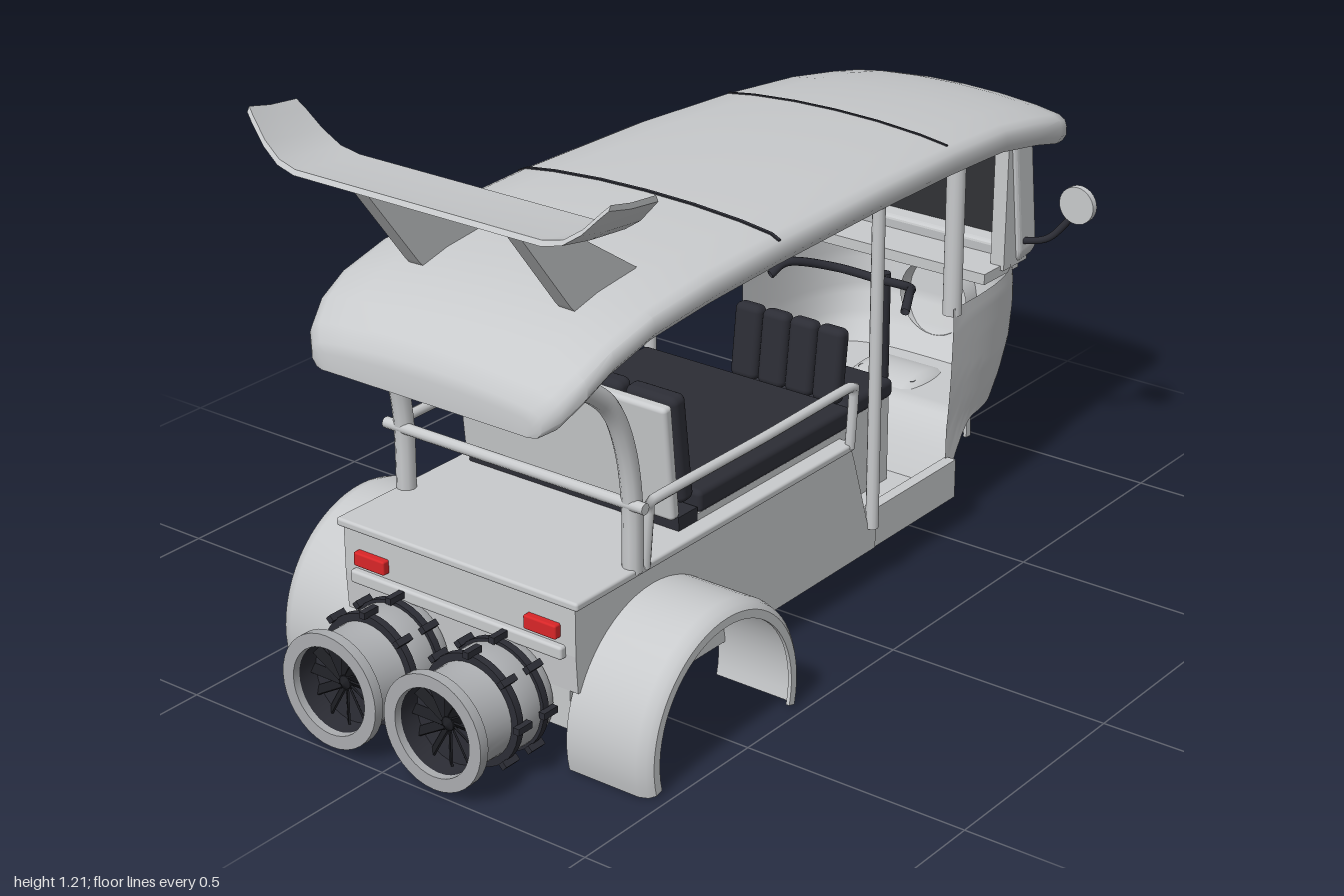
import * as THREE from 'three';
import { toCreasedNormals } from 'three/addons/utils/BufferGeometryUtils.js';
import { RoundedBoxGeometry } from 'three/addons/geometries/RoundedBoxGeometry.js';
import { ParametricGeometry } from 'three/addons/geometries/ParametricGeometry.js';

const mat = (name, color) => new THREE.MeshStandardMaterial({ name, color, side: THREE.DoubleSide });
const V = (x, y, z) => new THREE.Vector3(x, y, z);

export function createModel() {
  const root = new THREE.Group();
  root.name = 'threeWheeler';
  const grey = mat('bodyGrey', 0xc8cacc);
  const metal = mat('turbineMetal', 0xaaacaf);
  const dark = mat('darkTrim', 0x2c2d35);
  const black = mat('bladeBlack', 0x1c1d22);
  const glass = mat('darkGlass', 0x343539);
  const red = mat('lampRed', 0xd82628);

  const add = (name, geo, m, x = 0, y = 0, z = 0) => {
    const mesh = new THREE.Mesh(geo, m);
    mesh.name = name;
    mesh.position.set(x, y, z);
    root.add(mesh);
    return mesh;
  };
  // box given by its limits
  const box = (name, m, x0, x1, y0, y1, z0, z1, r = 0) => {
    const s = [x1 - x0, y1 - y0, z1 - z0];
    const g = r ? new RoundedBoxGeometry(...s, 3, r) : new THREE.BoxGeometry(...s);
    return add(name, g, m, (x0 + x1) / 2, (y0 + y1) / 2, (z0 + z1) / 2);
  };
  const tube = (name, m, r, pts, tension = 0.3) => add(name, new THREE.TubeGeometry(
    new THREE.CatmullRomCurve3(pts.map((p) => V(...p)), false, 'catmullrom', tension), pts.length * 8, r, 10), m);
  // side outline of [z, y] points, extruded across x
  const profile = (pts, width) => {
    const g = new THREE.ExtrudeGeometry(new THREE.Shape(pts.map((p) => new THREE.Vector2(...p))),
      { depth: width, bevelEnabled: false });
    return g.translate(0, 0, -width / 2).rotateY(-Math.PI / 2);
  };
  // skin over closed rings; each ring is an outer row followed by its reversed inner row
  const loft = (rings, crease = 0.6) => {
    const n = rings[0].length, idx = [];
    const quad = (a, b, c, d) => idx.push(a, b, c, a, c, d);
    for (let i = 0; i < rings.length - 1; i++)
      for (let j = 0; j < n; j++) {
        const k = (j + 1) % n;
        quad(i * n + j, i * n + k, (i + 1) * n + k, (i + 1) * n + j);
      }
    const last = (rings.length - 1) * n;
    for (let j = 0; j < n / 2 - 1; j++) {
      quad(j, n - 1 - j, n - 2 - j, j + 1);
      quad(last + j, last + j + 1, last + n - 2 - j, last + n - 1 - j);
    }
    const g = new THREE.BufferGeometry().setFromPoints(rings.flat());
    g.setIndex(idx);
    return toCreasedNormals(g, crease);
  };

  // roof stations: z, half width, crown height, rim height, hollowness of the underside
  const stations = [[-1, 0.24, 0.852, 0.785, 0.05], [-0.985, 0.272, 0.862, 0.782, 0.1], [-0.94, 0.285, 0.876, 0.79, 0.3],
    [-0.85, 0.288, 0.894, 0.812, 0.7], [-0.7, 0.295, 0.918, 0.84, 1], [-0.48, 0.31, 0.936, 0.856, 1],
    [-0.2, 0.325, 0.946, 0.866, 1], [0.175, 0.336, 0.946, 0.866, 1], [0.4, 0.338, 0.938, 0.858, 1],
    [0.58, 0.34, 0.918, 0.845, 0.9], [0.7, 0.339, 0.89, 0.815, 0.6], [0.77, 0.332, 0.859, 0.778, 0.3],
    [0.82, 0.312, 0.825, 0.742, 0.12], [0.845, 0.285, 0.795, 0.726, 0.05], [0.85, 0.265, 0.772, 0.724, 0.02]];
  const half = [[0.965, 0], [1, 0.2], [1, 0.45], [0.98, 0.63], [0.92, 0.75], [0.7, 0.87], [0.35, 0.97]];
  const halfIn = [[0.93, 0], [0.93, 0.15], [0.92, 0.3], [0.9, 0.4], [0.84, 0.5], [0.66, 0.62], [0.33, 0.72]];
  const row = ([z, w, c, e], list, top, k = 1) => {
    const p = ([a, b], s) => V(s * a * w, e + b * k * (c - e), z);
    return [...list.map((q) => p(q, -1)), p([0, top], 1), ...[...list].reverse().map((q) => p(q, 1))];
  };
  add('roof', loft(stations.map((s) => [...row(s, half, 1), ...row(s, halfIn, 0.75, s[4]).reverse()]), 0.7), grey);
  for (const [i, n, d] of [[7, 3, 0.004], [5, 4, 0.0025]]) {
    const rings = [-d, d].map((dz) => {
      const [z, ...rest] = stations[i];
      const top = row([z + dz, ...rest], half.slice(n), 1);
      return [...top.map((p) => p.clone().setY(p.y + 0.003)), ...top.reverse()];
    });
    add('roofSeam', loft(rings), dark);
  }

  // rear wing with upswept tips: x, lift, chord trim
  const wing = [[0, 0, 0], [0.3, 0, 0], [0.345, 0.01, 0.004], [0.385, 0.037, 0.01], [0.42, 0.073, 0.018], [0.437, 0.09, 0.024]];
  const wingRow = [...wing.slice(1).map(([x, l, t]) => [-x, l, t]).reverse(), ...wing];
  add('rearWing', loft(wingRow.map(([x, l, t]) => {
    const p = [[0.675 + t, 1.101], [0.77, 1.108], [0.85 - t, 1.12], [0.856 - t, 1.11], [0.77, 1.096], [0.668 + t, 1.087]];
    return p.map(([z, y]) => V(x, y + l, z));
  })), grey);
  for (const s of [-1, 1])
    add('wingPost', profile([[0.81, 1.1], [0.72, 1.095], [0.465, 0.925], [0.47, 0.905], [0.64, 0.885], [0.66, 0.905]], 0.036), grey, s * 0.187);

  // rear tub, deck lip and driver's floor
  add('rearTub', profile([[0.77, 0.36], [-0.13, 0.36], [-0.145, 0.32], [-0.2, 0.15], [-0.23, 0.15], [-0.23, 0.085],
    [0.7, 0.085], [0.7, 0.17], [0.765, 0.17], [0.77, 0.25]], 0.59), grey);
  box('deckLip', grey, -0.307, 0.307, 0.352, 0.37, -0.13, 0.78, 0.006);
  box('rearLedge', grey, -0.27, 0.27, 0.24, 0.268, 0.74, 0.785, 0.006);
  box('rearLowerPanel', grey, -0.275, 0.275, 0.085, 0.175, 0.69, 0.765);
  box('driverFloor', grey, -0.29, 0.29, 0.085, 0.1, -0.54, -0.22);
  for (const s of [-1, 1]) {
    box('floorSill', grey, s * 0.28 - 0.013, s * 0.28 + 0.013, 0.085, 0.175, -0.54, -0.22);
    box('tailLamp', red, s * 0.218 - 0.04, s * 0.218 + 0.04, 0.281, 0.311, 0.766, 0.786, 0.004);
  }

  // wheel arches
  const arch = (R, w, from, len) => {
    const p = [[R - 0.012, -w], [R, -w], [R, w - 0.03], [R - 0.006, w - 0.01], [R - 0.018, w],
      [R - 0.036, w], [R - 0.036, w - 0.008], [R - 0.016, w - 0.014], [R - 0.012, w - 0.03], [R - 0.012, -w]];
    const g = new THREE.LatheGeometry(p.map((q) => new THREE.Vector2(...q)), 36, from, len);
    return toCreasedNormals(g.rotateZ(-Math.PI / 2), 0.6);
  };
  for (const s of [-1, 1]) {
    const a = add('rearFender', arch(0.247, 0.099, Math.PI - 0.25, Math.PI + 0.5), grey, s * 0.377, 0.065, 0.535);
    if (s < 0) a.rotation.y = Math.PI;
    add('frontFender', arch(0.195, 0.05, Math.PI - 0.1, 2.6), grey, s * 0.045, 0.06, -0.735).scale.x = s;
  }

  // front cab: a rounded U in plan, cut by the wheel arch below
  const steps = [[0.08, 0.27, 0.272], [0.24, 0.32, 0.272], [0.29, 0.36, 0.276], [0.36, 0.395, 0.28], [0.44, 0.407, 0.282], [0.5, 0.402, 0.283], [0.535, 0.388, 0.281]];
  const at = (y, k) => {
    let i = 0;
    while (i < steps.length - 2 && y > steps[i + 1][0]) i++;
    const [a, b] = [steps[i], steps[i + 1]];
    return a[k] + (b[k] - a[k]) * (y - a[0]) / (b[0] - a[0]);
  };
  const cabPoint = (u, v, out) => {
    const t = u * Math.PI, c = Math.cos(t), f = Math.pow(Math.sin(t) + 1e-9, 0.66);
    const low = 0.085 + 0.155 * Math.sin(Math.min(1, f / 0.36) * Math.PI / 2);
    const y = low + v * (0.53 - low);
    out.set(-Math.sign(c) * Math.pow(Math.abs(c), 0.58) * at(y, 2), y, -0.53 - f * at(y, 1));
  };
  add('cabShell', new ParametricGeometry(cabPoint, 64, 14), grey);
  // underside of the cab, joining its lower edges
  add('wheelWell', new ParametricGeometry((u, v, out) => {
    cabPoint(u / 2, 0, out);
    out.x *= 1 - 2 * v;
  }, 32, 2), grey);
  box('dashboard', grey, -0.225, 0.225, 0.505, 0.53, -0.88, -0.74);
  const lamp = [[0, 0.05], [0.04, 0.047], [0.065, 0.036], [0.07, 0.028], [0.082, 0.026], [0.09, 0.014], [0.09, -0.05]];
  add('headlamp', toCreasedNormals(new THREE.LatheGeometry(lamp.map((p) => new THREE.Vector2(...p)).reverse(), 32)
    .rotateX(-Math.PI / 2), 0.5), grey, 0, 0.372, -0.932);

  // windscreen frame and glass
  const rounded = (C, w, h, r) => {
    const s = new C();
    [[w - r, r - h, -0.5], [w - r, h - r, 0], [r - w, h - r, 0.5], [r - w, r - h, 1]].forEach(([x, y, a]) =>
      s.absarc(x, y, r, a * Math.PI, (a + 0.5) * Math.PI, false));
    s.closePath();
    return s;
  };
  const frameShape = rounded(THREE.Shape, 0.235, 0.165, 0.04);
  frameShape.holes.push(rounded(THREE.Path, 0.198, 0.128, 0.03));
  const screen = new THREE.Group();
  screen.name = 'windscreen';
  const frame = new THREE.Mesh(new THREE.ExtrudeGeometry(frameShape,
    { depth: 0.05, bevelThickness: 0.012, bevelSize: 0.008, bevelSegments: 3 }), grey);
  frame.name = 'windscreenFrame';
  const pane = new THREE.Mesh(new THREE.ExtrudeGeometry(rounded(THREE.Shape, 0.2, 0.13, 0.03),
    { depth: 0.006, bevelEnabled: false }), glass);
  pane.name = 'windscreenGlass';
  pane.position.z = 0.012;
  screen.add(frame, pane);
  screen.position.set(0, 0.685, -0.9);
  screen.rotation.x = 0.12;
  root.add(screen);

  // posts, rails, mirrors and steering
  for (const s of [-1, 1]) {
    add('screenPillar', profile([[-0.805, 0.52], [-0.9, 0.52], [-0.87, 0.85], [-0.81, 0.85]], 0.035), grey, s * 0.216);
    add('cabPost', new THREE.CylinderGeometry(0.021, 0.021, 0.37, 16), grey, s * 0.265, 0.695, -0.55);
    add('middlePost', new THREE.CylinderGeometry(0.014, 0.014, 0.74, 12), grey, s * 0.297, 0.51, -0.213);
    tube('rearPost', grey, 0.021, [[s * 0.29, 0.36, 0.59], [s * 0.29, 0.52, 0.592], [s * 0.29, 0.64, 0.615], [s * 0.29, 0.73, 0.66], [s * 0.29, 0.8, 0.745]], 0.5);
    tube('sideRail', grey, 0.011, [[s * 0.3, 0.36, -0.12], [s * 0.307, 0.48, -0.12], [s * 0.31, 0.505, -0.1],
      [s * 0.315, 0.505, 0.2], [s * 0.315, 0.505, 0.55], [s * 0.312, 0.49, 0.565], [s * 0.3, 0.36, 0.565]]);
    tube('mirrorArm', dark, 0.008, [[s * 0.225, 0.57, -0.87], [s * 0.29, 0.585, -0.885], [s * 0.325, 0.62, -0.9], [s * 0.35, 0.66, -0.909]], 0.5);
    const disc = (r, d) => new THREE.CylinderGeometry(r, r, d, 28).rotateX(Math.PI / 2);
    add('mirrorShell', disc(0.043, 0.016), grey, s * 0.36, 0.677, -0.9);
    add('mirrorFace', disc(0.037, 0.004), dark, s * 0.36, 0.677, -0.909);
    tube('handlebar', dark, 0.01, [[0, 0.49, -0.66], [s * 0.1, 0.505, -0.63], [s * 0.16, 0.532, -0.54], [s * 0.18, 0.51, -0.495]], 0.5);
    tube('forkLeg', dark, 0.011, [[s * 0.065, 0.25, -0.7], [s * 0.065, 0.16, -0.712], [s * 0.065, 0.065, -0.725]]);
  }
  add('forkAxle', new THREE.CylinderGeometry(0.019, 0.019, 0.15, 14).rotateZ(Math.PI / 2), dark, 0, 0.065, -0.725);
  add('steeringColumn', new THREE.CylinderGeometry(0.015, 0.015, 0.26, 12), dark, 0, 0.37, -0.68);
  add('rearRail', new THREE.CylinderGeometry(0.012, 0.012, 0.66, 12).rotateZ(Math.PI / 2), grey, 0, 0.505, 0.6);

  // seats with four padded ribs in each backrest
  const backrest = (name, halfWidth, y0, y1, z0, z1, tilt) => {
    const w = halfWidth / 2;
    for (let i = 0; i < 4; i++) {
      const x = (i - 1.5) * w;
      box(name, dark, x - w * 0.47, x + w * 0.47, y0, y1, z0, z1, 0.016).rotation.x = tilt;
    }
  };
  box('benchBase', grey, -0.27, 0.27, 0.36, 0.385, -0.15, 0.36);
  box('benchCushion', dark, -0.272, 0.272, 0.38, 0.43, -0.165, 0.355, 0.012);
  box('backrestFoot', dark, -0.27, 0.27, 0.37, 0.4, 0.36, 0.42);
  box('backrestBoard', grey, -0.268, 0.268, 0.395, 0.645, 0.422, 0.45, 0.01).rotation.x = 0.1;
  backrest('backrestCushion', 0.268, 0.415, 0.652, 0.37, 0.414, 0.12);
  box('driverSeatBase', grey, -0.14, 0.14, 0.1, 0.3, -0.5, -0.31);
  box('driverCushion', dark, -0.15, 0.15, 0.3, 0.345, -0.505, -0.32, 0.014);
  backrest('driverBackrest', 0.145, 0.345, 0.515, -0.34, -0.3, -0.12);

  // twin turbines
  const duct = [[0.06, 0.768], [0.105, 0.77], [0.11, 0.785], [0.11, 0.87], [0.1, 0.89], [0.1, 0.972], [0.121, 0.978],
    [0.121, 1], [0.093, 1], [0.092, 0.93]];
  const turned = (pts) => toCreasedNormals(new THREE.LatheGeometry(pts.map((p) => new THREE.Vector2(...p)), 36).rotateX(Math.PI / 2), 0.5);
  for (const s of [-1, 1]) {
    const x = s * 0.132, y = 0.135;
    add('turbineDuct', turned(duct), metal, x, y);
    add('turbineLiner', turned([[0.0915, 0.985], [0.0905, 0.94], [0, 0.935]]), dark, x, y);
    add('turbineHub', turned([[0.016, 0.935], [0.014, 0.955], [0, 0.965]]), black, x, y);
    for (const z of [0.805, 0.88]) {
      add('turbineBand', turned([[0.1, z - 0.008], [0.117, z - 0.008], [0.117, z + 0.008], [0.1, z + 0.008]]), dark, x, y);
      for (let i = 0; i < 8; i++) {
        const a = (i * Math.PI) / 4;
        const stud = add('bandStud', new THREE.BoxGeometry(0.014, 0.014, 0.04), dark, x + Math.sin(a) * 0.122, y + Math.cos(a) * 0.122, z);
        stud.rotation.z = -a;
      }
    }
    for (let i = 0; i < 12; i++) {
      const blade = add('turbineBlade', new THREE.BoxGeometry(0.02, 0.075, 0.004).rotateY(0.7).translate(0, 0.052, 0), black, x, y, 0.948);
      blade.rotation.z = (i * Math.PI) / 6;
    }
  }
  box('turbineMount', grey, -0.08, 0.08, 0.05, 0.09, 0.7, 0.77);
  box('turbineMountFoot', dark, -0.055, 0.055, 0.032, 0.05, 0.7, 0.79);
  return root;
}
